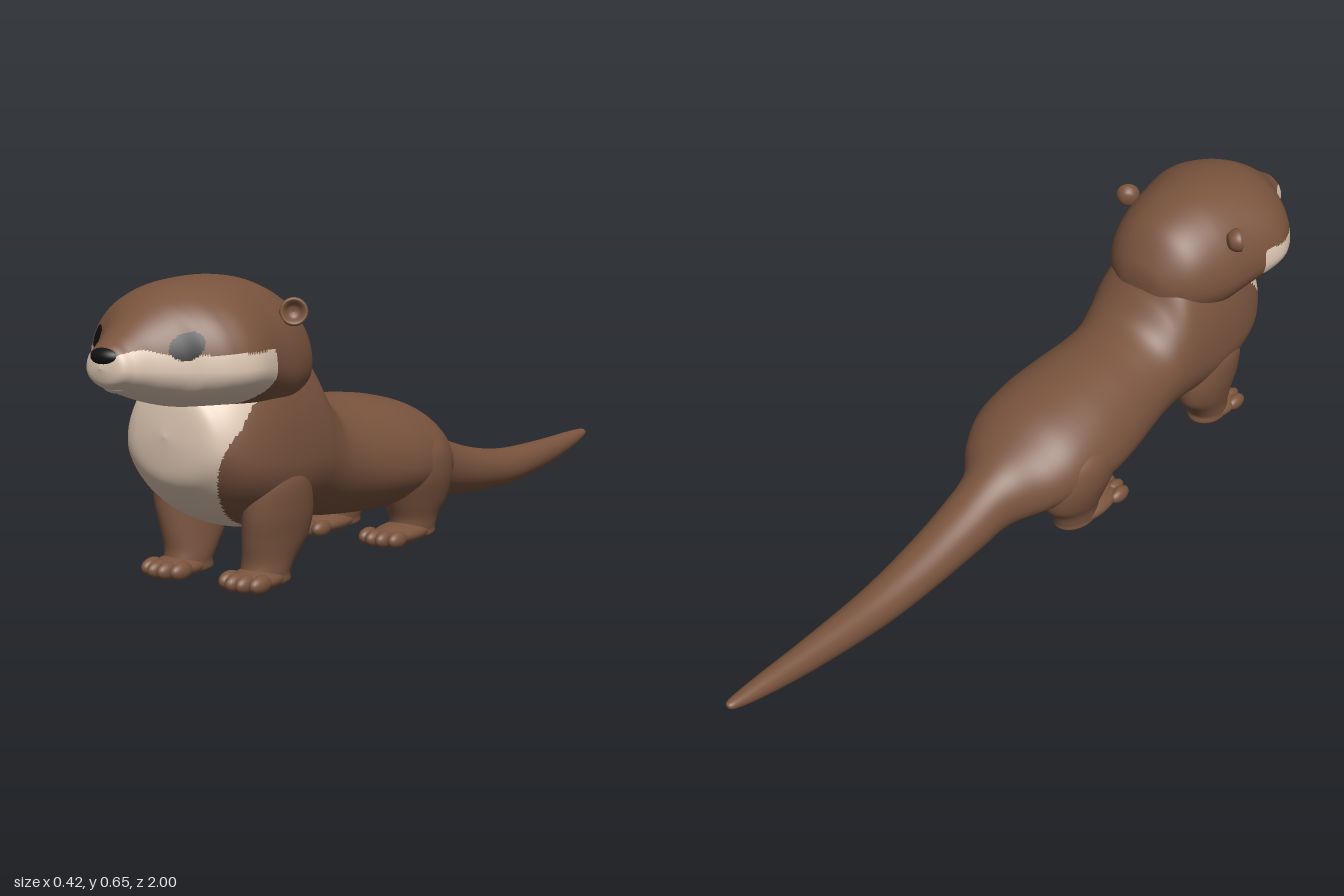
import * as THREE from 'three';

const material = (name, color) => Object.assign(new THREE.MeshStandardMaterial({ color }), { name });

// Smooth interpolation of a table of cross-sections, t from 0 to 1
function sample(rows, t) {
  const f = t * (rows.length - 1);
  const i = Math.min(Math.floor(f), rows.length - 2), u = f - i;
  const at = k => rows[Math.max(0, Math.min(rows.length - 1, k))];
  return rows[0].map((_, c) => {
    const [a, b, d, e] = [at(i - 1)[c], at(i)[c], at(i + 1)[c], at(i + 2)[c]];
    return b + 0.5 * u * (d - a + u * (2 * a - 5 * b + 4 * d - e + u * (3 * (b - d) + e - a)));
  });
}

// Closed skin through the sections; paint(x, y, z) picks a material per face
function loft(rows, steps, sides, place, paint) {
  const pos = [], lists = [[], [], []];
  for (let i = 0; i <= steps; i++) {
    const row = sample(rows, i / steps);
    for (let j = 0; j < sides; j++) {
      const a = (j / sides) * Math.PI * 2;
      pos.push(...place(row, Math.cos(a), Math.sin(a)));
    }
  }
  const addFace = (...v) => {
    const mid = [0, 1, 2].map(k => (pos[v[0] * 3 + k] + pos[v[1] * 3 + k] + pos[v[2] * 3 + k]) / 3);
    lists[paint ? paint(...mid) : 0].push(...v);
  };
  for (let i = 0; i < steps; i++) {
    for (let j = 0; j < sides; j++) {
      const k = (j + 1) % sides;
      const a = i * sides + j, b = i * sides + k, c = a + sides, d = b + sides;
      addFace(a, b, c);
      addFace(b, d, c);
    }
  }
  const geometry = new THREE.BufferGeometry();
  geometry.setAttribute('position', new THREE.Float32BufferAttribute(pos, 3));
  geometry.setIndex(lists.flat());
  let start = 0;
  lists.forEach((list, m) => {
    if (list.length) geometry.addGroup(start, list.length, m);
    start += list.length;
  });
  geometry.computeVertexNormals();
  return geometry;
}

// Section rows: z, top, bottom, half width, height of widest point
const alongZ = ([z, top, bottom, w, mid], c, s) =>
  [Math.max(0, w) * c, mid + (s > 0 ? top - mid : mid - bottom) * s, z];

// Section rows: y, centre x, centre z, radius x, radius z
const alongY = side => ([y, x, z, rx, rz], c, s) =>
  [side * x + Math.max(0, rx) * c, Math.max(0, y), z + Math.max(0, rz) * s];

const BODY = [
  [-1, 0.095, 0.095, 0, 0.095], [-0.985, 0.103, 0.079, 0.013, 0.092], [-0.9, 0.105, 0.055, 0.024, 0.08],
  [-0.75, 0.104, 0.028, 0.035, 0.066], [-0.55, 0.11, 0.012, 0.049, 0.06], [-0.39, 0.135, 0.02, 0.06, 0.077],
  [-0.25, 0.175, 0.035, 0.07, 0.105], [-0.15, 0.22, 0.052, 0.084, 0.135], [-0.075, 0.265, 0.066, 0.14, 0.16],
  [0, 0.308, 0.07, 0.174, 0.175], [0.1, 0.335, 0.066, 0.187, 0.18], [0.2, 0.35, 0.07, 0.18, 0.19],
  [0.3, 0.36, 0.08, 0.166, 0.21], [0.37, 0.38, 0.09, 0.16, 0.23], [0.42, 0.44, 0.095, 0.163, 0.25],
  [0.47, 0.52, 0.1, 0.17, 0.26], [0.56, 0.56, 0.1, 0.178, 0.26], [0.65, 0.55, 0.12, 0.178, 0.27],
  [0.72, 0.5, 0.155, 0.165, 0.28], [0.77, 0.45, 0.2, 0.137, 0.3], [0.8, 0.42, 0.245, 0.095, 0.32],
  [0.812, 0.33, 0.33, 0, 0.33],
];

const HEAD = [
  [0.425, 0.47, 0.47, 0, 0.47], [0.435, 0.52, 0.4, 0.07, 0.46], [0.485, 0.595, 0.36, 0.135, 0.46],
  [0.57, 0.637, 0.34, 0.175, 0.46], [0.66, 0.653, 0.355, 0.194, 0.47], [0.75, 0.65, 0.383, 0.211, 0.478],
  [0.81, 0.638, 0.394, 0.193, 0.478], [0.85, 0.622, 0.405, 0.161, 0.479], [0.88, 0.604, 0.414, 0.122, 0.48],
  [0.92, 0.575, 0.427, 0.085, 0.482], [0.96, 0.547, 0.442, 0.062, 0.485], [0.985, 0.53, 0.457, 0.044, 0.488],
  [0.995, 0.49, 0.49, 0, 0.49],
];

const FRONT_LEG = [
  [0.28, 0.105, 0.6, 0.04, 0.06], [0.23, 0.118, 0.6, 0.06, 0.09], [0.16, 0.121, 0.592, 0.057, 0.1],
  [0.1, 0.113, 0.59, 0.055, 0.093], [0.055, 0.107, 0.605, 0.051, 0.07], [0.025, 0.106, 0.617, 0.048, 0.06],
  [0.003, 0.106, 0.615, 0.044, 0.055], [0, 0.106, 0.615, 0, 0],
];

const HIND_LEG = [
  [0.26, 0.09, 0.07, 0.06, 0.08], [0.21, 0.1, 0.065, 0.084, 0.115], [0.15, 0.108, 0.055, 0.08, 0.12],
  [0.09, 0.11, 0.045, 0.063, 0.1], [0.05, 0.108, 0.05, 0.051, 0.075], [0.02, 0.108, 0.055, 0.046, 0.068],
  [0.003, 0.108, 0.055, 0.042, 0.06], [0, 0.108, 0.055, 0, 0],
];

// Cream bib narrowing from the throat down between the front legs
function paintBody(x, y, z) {
  const t = THREE.MathUtils.clamp((y - 0.09) / 0.26, 0, 1);
  const back = y > 0.25 ? 0.65 : 0.5;
  return z > back && Math.abs(x) < 0.035 + 0.112 * t ** 0.8 ? 1 : 0;
}

// Dark eyes and a cream muzzle that reaches back over the cheeks
function paintHead(x, y, z) {
  const ax = Math.abs(x);
  if (z > 0.75 && Math.hypot((ax - 0.12) / 0.027, (y - 0.53) / 0.028) < 1) return 2;
  const edge = 0.512 + 0.013 * Math.exp(-(((ax - 0.06) / 0.025) ** 2));
  const back = 0.69 + Math.max(0, 0.45 - y) + 8 * Math.max(0, y - 0.485) ** 2;
  return y < edge && z > back ? 1 : 0;
}

export function createModel() {
  const model = new THREE.Group();
  model.name = 'otter';
  const brown = material('brown fur', 0x7a543e);
  const cream = material('cream fur', 0xdfc8b4);
  const black = material('black', 0x111111);
  const coat = [brown, cream, black];

  const add = (name, geometry, mat, parent = model) => {
    const mesh = new THREE.Mesh(geometry, mat);
    mesh.name = name;
    parent.add(mesh);
    return mesh;
  };
  // Ellipsoid, flattened where it meets the ground
  const blob = (x, y, z, rx, ry, rz) => {
    const g = new THREE.SphereGeometry(1, 28, 18).scale(rx, ry, rz).translate(x, y, z);
    const p = g.attributes.position;
    for (let i = 0; i < p.count; i++) p.setY(i, Math.max(0, p.getY(i)));
    return g;
  };

  add('bodyAndTail', loft(BODY, 210, 120, alongZ, paintBody), coat);
  add('head', loft(HEAD, 180, 144, alongZ, paintHead), coat);
  add('nose', blob(0, 0.512, 0.97, 0.04, 0.021, 0.03), black);
  add('lowerLip', blob(0, 0.45, 0.948, 0.032, 0.014, 0.022), cream);

  // Cup-shaped ear, opening forwards and outwards
  const cup = [[0, -0.024], [0.018, -0.02], [0.028, -0.006], [0.03, 0.006], [0.026, 0.011],
    [0.02, 0.007], [0.012, -0.002], [0, -0.005]].map(p => new THREE.Vector2(...p));
  const earProfile = new THREE.SplineCurve(cup).getPoints(24);
  earProfile.forEach(p => { p.x = Math.max(0, p.x); });

  for (const side of [-1, 1]) {
    const label = side > 0 ? 'left' : 'right';

    const ear = add(label + 'Ear', new THREE.LatheGeometry(earProfile, 32), brown);
    ear.position.set(side * 0.169, 0.578, 0.595);
    ear.quaternion.setFromUnitVectors(new THREE.Vector3(0, 1, 0),
      new THREE.Vector3(side * 0.65, 0.1, 0.75).normalize());

    // Legs, each with a flat foot and four toes
    const legs = [
      ['FrontLeg', FRONT_LEG, 0.107, 0.645, 0.07, 0.7],
      ['HindLeg', HIND_LEG, 0.108, 0.105, 0.1, 0.192],
    ];
    for (const [part, rows, x, footZ, footLength, toeZ] of legs) {
      const leg = new THREE.Group();
      leg.name = label + part;
      model.add(leg);
      add('limb', loft(rows, 40, 40, alongY(side)), brown, leg);
      add('foot', blob(side * x, 0.016, footZ, 0.052, 0.026, footLength), brown, leg);
      for (let i = 0; i < 4; i++) {
        const off = (i - 1.5) * 0.027;
        const z = toeZ - (Math.abs(i - 1.5) > 1 ? 0.012 : 0);
        add('toe', blob(side * x + off, 0.016, z, 0.017, 0.02, 0.032), brown, leg);
      }
    }
  }
  return model;
}
